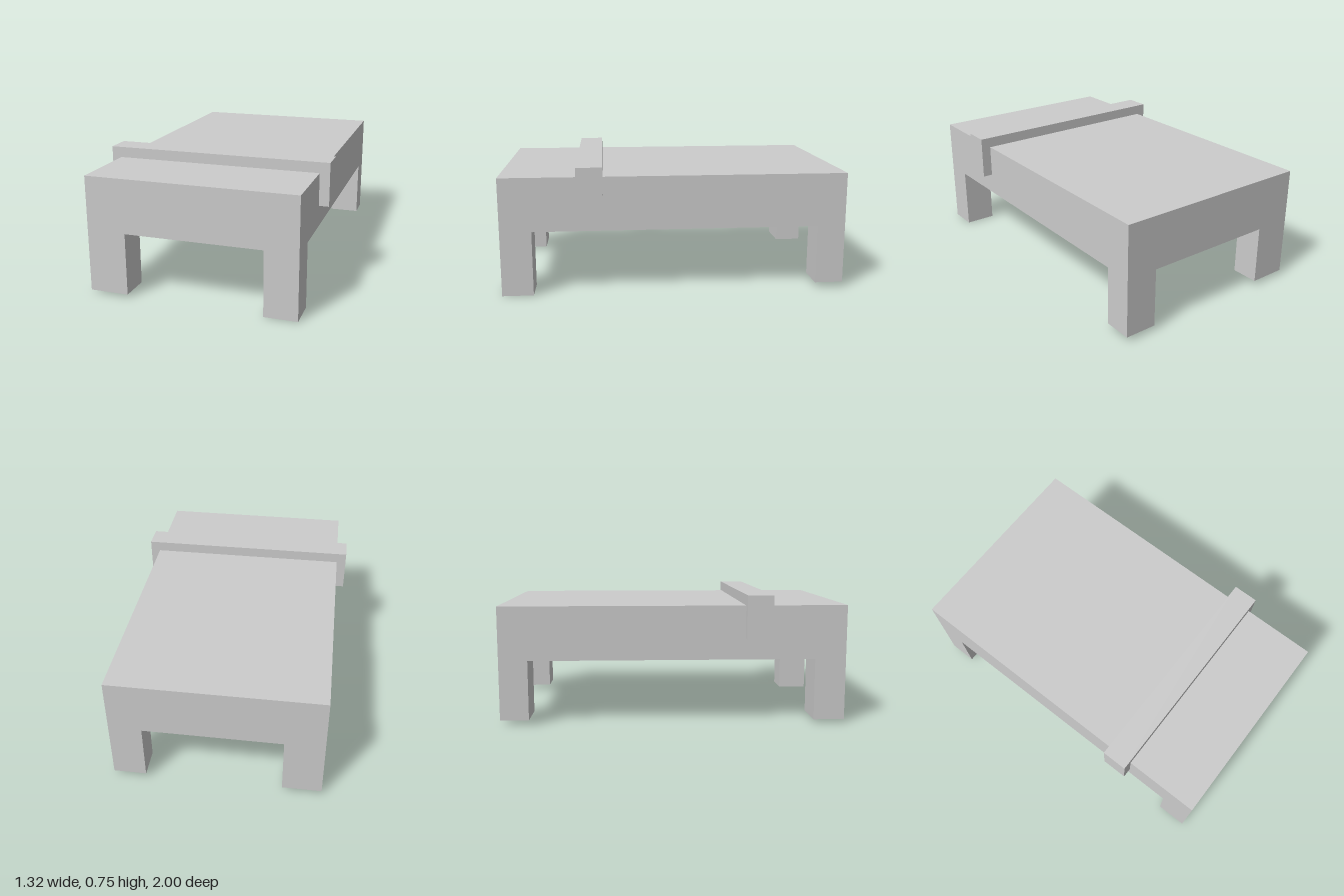
import * as THREE from 'three';

const X = 0.602, Z = 1;                       // outer half sizes
const hole = { x0: -0.377, x1: 0.413, z0: -0.835, z1: 0.82 }; // hollow underside
const RIM_Y = 0.376, CEILING_Y = 0.64, TOP_Y = 0.688;

export function createModel() {
  const group = new THREE.Group();
  const material = new THREE.MeshStandardMaterial({ color: 0xcccccc, flatShading: true });

  function add(name, geometry) {
    const mesh = new THREE.Mesh(geometry, material);
    mesh.name = name;
    group.add(mesh);
  }

  // Box given by its limits on each axis
  function box(name, x0, x1, y0, y1, z0, z1) {
    const geometry = new THREE.BoxGeometry(x1 - x0, y1 - y0, z1 - z0);
    geometry.translate((x0 + x1) / 2, (y0 + y1) / 2, (z0 + z1) / 2);
    add(name, geometry);
  }

  // Counter-clockwise rectangle; shape y becomes -z once laid flat
  const rect = (path, x0, x1, z0, z1) => path
    .moveTo(x0, -z1).lineTo(x1, -z1).lineTo(x1, -z0).lineTo(x0, -z0).closePath();

  // Side walls around the hollow underside
  const outline = rect(new THREE.Shape(), -X, X, -Z, Z);
  outline.holes.push(rect(new THREE.Path(), hole.x0, hole.x1, hole.z0, hole.z1));
  const frame = new THREE.ExtrudeGeometry(outline, { depth: CEILING_Y - RIM_Y, bevelEnabled: false });
  frame.rotateX(-Math.PI / 2).translate(0, RIM_Y, 0);
  add('frame', frame);

  // Thin top panel
  box('topPanel', -X, X, CEILING_Y, TOP_Y, -Z, Z);

  // Crossbar running through the body and out at both sides
  box('crossbar', -0.66, 0.66, 0.5, 0.75, 0.413, 0.562);

  // Corner legs with slightly uneven feet
  box('frontLeftLeg', hole.x1, X, 0, RIM_Y, hole.z1, Z);
  box('frontRightLeg', -X, hole.x0, 0.017, RIM_Y, hole.z1, Z);
  box('backLeftLeg', hole.x1, X, 0.03, RIM_Y, -Z, hole.z0);
  box('backRightLeg', -X, hole.x0, 0.03, RIM_Y, -Z, hole.z0);

  return group;
}
